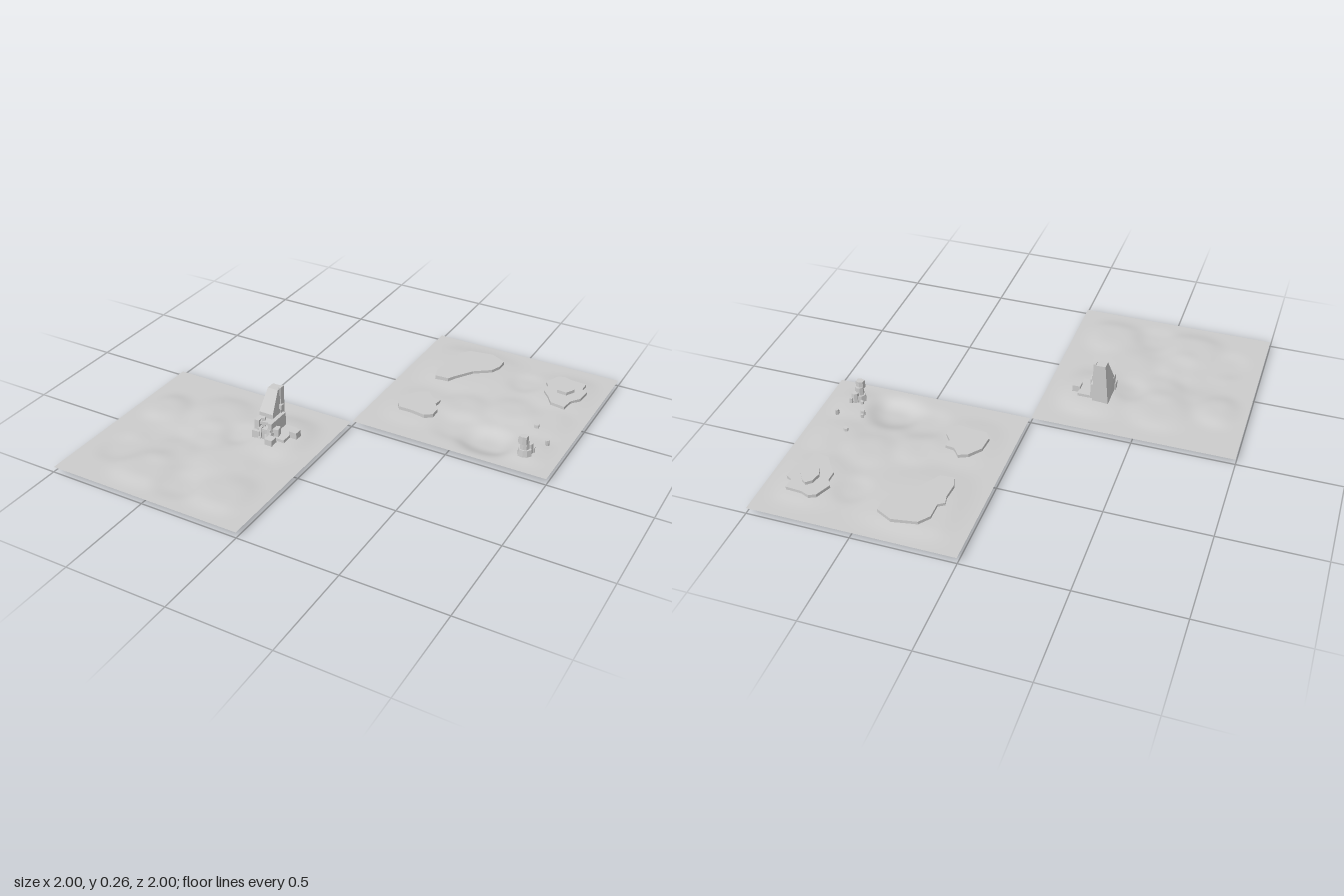
import * as THREE from 'three';

const stone = new THREE.MeshStandardMaterial({ color: 0xcccccc, side: THREE.DoubleSide });
stone.name = 'pale stone';

const fade = (t) => THREE.MathUtils.smoothstep(Math.min(t, 1 - t), 0, 0.14);

// Square land tile shaped by soft round hills and hollows: [x, z, radius, height]
function landTile(name, cx, cz, base, hills) {
  const geo = new THREE.PlaneGeometry(0.995, 0.995, 72, 72).rotateX(-Math.PI / 2).translate(cx, 0, cz);
  const p = geo.attributes.position;
  for (let i = 0; i < p.count; i++) {
    const x = p.getX(i), z = p.getZ(i);
    let h = 0;
    for (const [hx, hz, r, a] of hills) {
      const d = ((x - hx) ** 2 + (z - hz) ** 2) / (r * r);
      h += a * Math.exp(-d * d);
    }
    p.setY(i, base + h * fade(x - cx + 0.5) * fade(z - cz + 0.5));
  }
  geo.computeVertexNormals();
  return add(name, geo);
}

function add(name, geo) {
  const mesh = new THREE.Mesh(geo, stone);
  mesh.name = name;
  return mesh;
}

// Vertical-sided slab from a ground outline of [x, z] points
function plateau(name, outline, y0, y1) {
  const shape = new THREE.Shape(outline.map(([x, z]) => new THREE.Vector2(x, -z)));
  const geo = new THREE.ExtrudeGeometry(shape, { depth: y1 - y0, bevelEnabled: false });
  return add(name, geo.rotateX(-Math.PI / 2).translate(0, y0, 0));
}

// Box given by its limits, with optional turn about y
function block(name, x0, x1, y0, y1, z0, z1, turn = 0) {
  const mesh = add(name, new THREE.BoxGeometry(x1 - x0, y1 - y0, z1 - z0));
  mesh.position.set((x0 + x1) / 2, (y0 + y1) / 2, (z0 + z1) / 2);
  mesh.rotation.y = turn;
  return mesh;
}

// Uneven boulder with a flat top
function rock(name, x, z, r, y0, y1, sides = 7, taper = 0.8) {
  const geo = new THREE.CylinderGeometry(r * taper, r, y1 - y0, sides).toNonIndexed();
  const p = geo.attributes.position;
  for (let i = 0; i < p.count; i++) {
    const k = 1 + 0.14 * Math.sin(Math.atan2(p.getZ(i), p.getX(i)) * 2 + x * 40);
    p.setX(i, p.getX(i) * k);
    p.setZ(i, p.getZ(i) * k);
  }
  geo.computeVertexNormals();
  const mesh = add(name, geo);
  mesh.position.set(x, (y0 + y1) / 2, z);
  return mesh;
}

function ruin() {
  const g = new THREE.Group();
  g.name = 'ruinedTower';
  // Tall tower leaning back on its front face, cut from its side profile (z, y)
  const profile = new THREE.Shape([[0.205, 0.03], [0.3, 0.03], [0.3, 0.15], [0.25, 0.26], [0.205, 0.26]]
    .map(([z, y]) => new THREE.Vector2(z, y)));
  const geo = new THREE.ExtrudeGeometry(profile, { depth: 0.075, bevelEnabled: false });
  geo.rotateY(-Math.PI / 2);
  const p = geo.attributes.position;
  for (let i = 0; i < p.count; i++) {
    const taper = p.getY(i) > 0.2 ? 0.055 / 0.075 : 1;
    p.setX(i, -0.255 + p.getX(i) * taper);
  }
  geo.computeVertexNormals();
  g.add(add('tower', geo));
  // Upright wall along the tower's side
  g.add(block('sideWall', -0.262, -0.25, 0.03, 0.265, 0.205, 0.235));
  // Broken lower walls stepping down around the tower
  g.add(block('buttress', -0.255, -0.235, 0.03, 0.13, 0.22, 0.345));
  g.add(block('frontWall', -0.33, -0.305, 0.03, 0.13, 0.3, 0.345));
  g.add(block('frontPost', -0.3, -0.285, 0.03, 0.14, 0.31, 0.33, 0.3));
  g.add(block('frontSill', -0.31, -0.24, 0.03, 0.095, 0.3, 0.35));
  g.add(block('lintel', -0.305, -0.25, 0.11, 0.125, 0.3, 0.335, 0.15));
  g.add(block('terrace', -0.24, -0.17, 0.03, 0.062, 0.22, 0.345));
  g.add(block('looseBracket', -0.255, -0.24, 0.155, 0.178, 0.225, 0.245));
  // Fallen blocks
  g.add(block('fallenBlock', -0.175, -0.135, 0.035, 0.08, 0.25, 0.29));
  g.add(block('fallenBlock', -0.245, -0.205, 0.035, 0.075, 0.355, 0.395));
  g.add(block('fallenBlock', -0.335, -0.295, 0.035, 0.08, 0.325, 0.362));
  g.add(block('fallenBlock', -0.24, -0.21, 0.035, 0.1, 0.3, 0.335, 0.2));
  // Chips of rubble leaning on the front
  for (let i = 0; i < 5; i++) {
    const chip = block('rubble', -0.3 + i * 0.014, -0.286 + i * 0.014, 0.04, 0.1 - (i % 3) * 0.015, 0.34, 0.358, i * 0.7);
    chip.rotation.x = -0.25;
    g.add(chip);
  }
  return g;
}

function rocks() {
  const g = new THREE.Group();
  g.name = 'rockStack';
  g.add(rock('stackBase', 0.84, -0.13, 0.034, 0.015, 0.072, 8, 0.85));
  g.add(rock('stackColumn', 0.838, -0.128, 0.021, 0.06, 0.115, 7, 0.9));
  g.add(rock('stackTop', 0.835, -0.118, 0.021, 0.105, 0.145, 6, 0.95));
  g.add(rock('stackShoulder', 0.852, -0.15, 0.02, 0.03, 0.09, 6));
  g.add(rock('stackFoot', 0.868, -0.165, 0.011, 0.025, 0.065, 5));
  for (const [x, z, r, top] of [[0.803, -0.372, 0.015, 0.055], [0.9, -0.262, 0.013, 0.06],
    [0.78, -0.228, 0.015, 0.058], [0.775, -0.25, 0.009, 0.05], [0.815, -0.16, 0.01, 0.055]]) {
    g.add(rock('scatteredRock', x, z, r, 0.02, top, 6));
  }
  return g;
}

export function createModel() {
  const model = new THREE.Group();

  // Front right tile with rolling mounds
  model.add(landTile('frontLand', -0.5, 0.5, 0.027, [
    [-0.23, 0.29, 0.17, 0.021], [-0.86, 0.33, 0.11, 0.014], [-0.58, 0.25, 0.14, 0.013],
    [-0.55, 0.42, 0.1, 0.007], [-0.7, 0.56, 0.12, -0.008], [-0.34, 0.57, 0.14, 0.01],
    [-0.6, 0.63, 0.11, 0.009], [-0.2, 0.8, 0.14, 0.013], [-0.62, 0.82, 0.14, 0.014],
    [-0.42, 0.84, 0.1, -0.007], [-0.83, 0.72, 0.1, -0.007], [-0.4, 0.36, 0.08, -0.006]]));

  // Back left tile with a shallow basin
  model.add(landTile('backLand', 0.5, -0.5, 0.03, [
    [0.28, -0.74, 0.24, 0.014], [0.81, -0.72, 0.18, 0.014], [0.22, -0.28, 0.16, 0.009],
    [0.42, -0.38, 0.11, 0.009], [0.64, -0.15, 0.12, -0.029], [0.47, -0.2, 0.11, -0.008],
    [0.6, -0.74, 0.08, -0.007], [0.85, -0.16, 0.12, 0.009], [0.64, -0.46, 0.11, 0.009],
    [0.84, -0.42, 0.13, 0.01]]));

  // Flat-topped plateaus
  model.add(plateau('largePlateau', [[0.23, -0.87], [0.35, -0.89], [0.43, -0.85], [0.43, -0.79], [0.41, -0.74],
    [0.33, -0.68], [0.27, -0.59], [0.25, -0.555], [0.18, -0.55], [0.165, -0.6], [0.17, -0.68], [0.16, -0.72],
    [0.19, -0.74], [0.19, -0.82]], 0.03, 0.058));
  model.add(plateau('smallPlateau', [[0.18, -0.375], [0.225, -0.395], [0.26, -0.353], [0.305, -0.348],
    [0.3, -0.305], [0.33, -0.267], [0.33, -0.214], [0.295, -0.187], [0.22, -0.198], [0.155, -0.198],
    [0.128, -0.235], [0.134, -0.316]], 0.028, 0.055));
  model.add(plateau('steppedPlateau', [[0.727, -0.845], [0.76, -0.86], [0.8, -0.845], [0.88, -0.84], [0.88, -0.786],
    [0.91, -0.77], [0.904, -0.695], [0.87, -0.65], [0.86, -0.583], [0.786, -0.594], [0.754, -0.642],
    [0.717, -0.684], [0.717, -0.738], [0.695, -0.77]], 0.03, 0.056));
  model.add(plateau('plateauStep', [[0.775, -0.78], [0.8, -0.802], [0.824, -0.786], [0.856, -0.738],
    [0.83, -0.69], [0.78, -0.695], [0.765, -0.733]], 0.05, 0.072));

  model.add(ruin(), rocks());
  return model;
}
